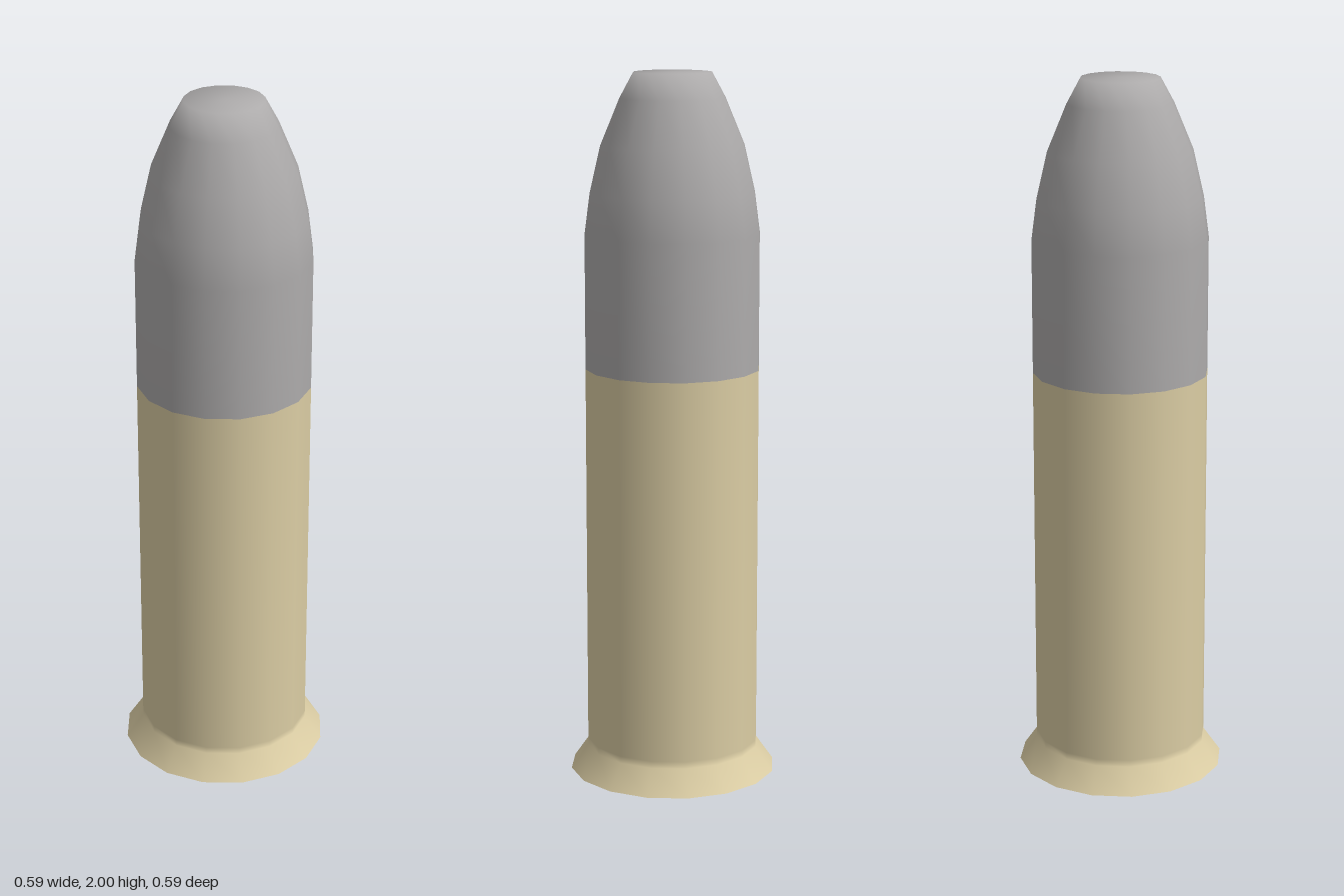
import * as THREE from 'three';

const SIDES = 16;

export function createModel() {
  const brass = new THREE.MeshStandardMaterial({ color: 0xdbcda4 });
  brass.name = 'brass';
  const lead = new THREE.MeshStandardMaterial({ color: 0xadabab });
  lead.name = 'lead';

  const model = new THREE.Group();
  model.name = 'cartridge';

  const add = (name, geometry, material) => {
    const mesh = new THREE.Mesh(geometry, material);
    mesh.name = name;
    model.add(mesh);
    return mesh;
  };
  // Turned part from [radius, height] pairs, bottom to top
  const turned = (profile) =>
    new THREE.LatheGeometry(profile.map(([r, y]) => new THREE.Vector2(r, y)), SIDES);

  // Straight case with a flared rim; the close rings keep the wall shading straight
  add('case', turned([[0.296, 0], [0.247, 0.07], [0.247, 0.09], [0.247, 1.175]]), brass);

  // Flat base under the rim
  add('caseBase', new THREE.CircleGeometry(0.296, SIDES).rotateX(Math.PI / 2), brass);

  // Bullet with a curved nose and a blunt tip
  add('bullet', turned([
    [0.247, 1.175], [0.247, 1.555], [0.232, 1.67], [0.202, 1.8],
    [0.148, 1.93], [0.11, 2], [0, 2],
  ]), lead);

  return model;
}
